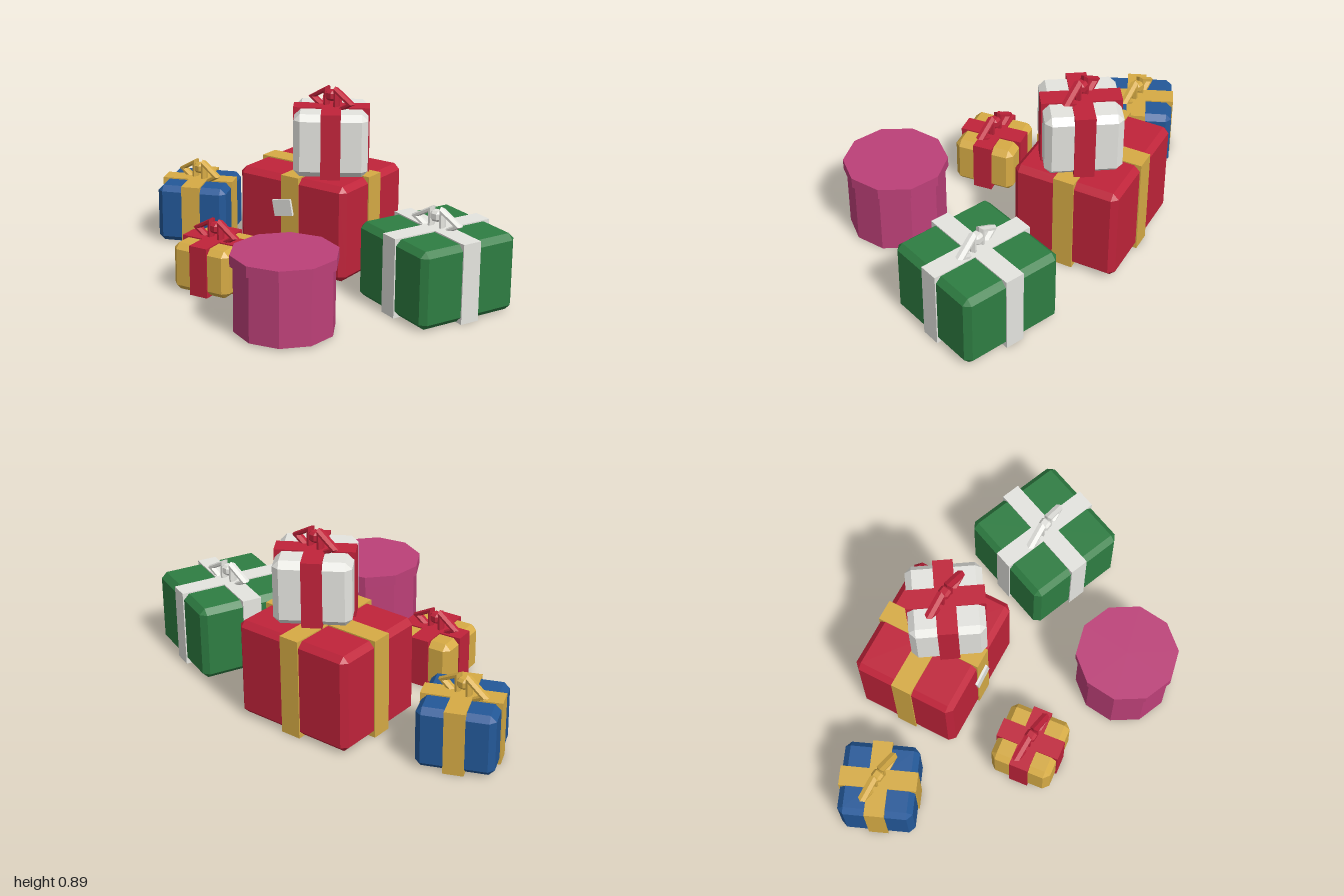
import * as THREE from 'three';
import { ConvexGeometry } from 'three/addons/geometries/ConvexGeometry.js';

function material(name, color) {
  const m = new THREE.MeshStandardMaterial({ color, flatShading: true });
  m.name = name;
  return m;
}

function addMesh(parent, name, geometry, mat, x = 0, y = 0, z = 0) {
  const mesh = new THREE.Mesh(geometry, mat);
  mesh.name = name;
  mesh.position.set(x, y, z);
  parent.add(mesh);
  return mesh;
}

// Box with flat chamfers along every edge
function chamferBox(w, h, d, c) {
  const pts = [];
  for (const sx of [-1, 1]) for (const sy of [-1, 1]) for (const sz of [-1, 1]) {
    const x = w / 2, y = h / 2, z = d / 2;
    pts.push(
      new THREE.Vector3(sx * x, sy * (y - c), sz * (z - c)),
      new THREE.Vector3(sx * (x - c), sy * y, sz * (z - c)),
      new THREE.Vector3(sx * (x - c), sy * (y - c), sz * z));
  }
  return new ConvexGeometry(pts);
}

// Two triangular loops and a knot; stands on y = 0
function makeBow(mat) {
  const bow = new THREE.Group();
  bow.name = 'bow';
  const loop = new THREE.TorusGeometry(0.058, 0.022, 6, 3);
  for (const side of [-1, 1]) {
    const mesh = addMesh(bow, side > 0 ? 'leftLoop' : 'rightLoop', loop, mat, side * 0.06, 0.026, 0);
    if (side < 0) mesh.rotation.y = Math.PI;
  }
  addMesh(bow, 'knot', chamferBox(0.052, 0.05, 0.052, 0.012), mat, 0, 0.05, 0);
  return bow;
}

// Wrapped box with crossing ribbons; the bow keeps facing the front
function makePresent({ name, x, z, y = 0, w, d, h, turn, wrap, ribbon, width = 0.093, chamfer = 0.027, bow = true }) {
  const present = new THREE.Group();
  present.name = name;
  present.position.set(x, y, z);

  const body = new THREE.Group();
  body.name = 'wrappedBox';
  body.rotation.y = turn;
  present.add(body);
  addMesh(body, 'box', chamferBox(w, h - 0.012, d, chamfer), wrap, 0, h / 2, 0);
  addMesh(body, 'sideRibbon', new THREE.BoxGeometry(w + 0.012, h, width), ribbon, 0, h / 2, 0);
  addMesh(body, 'frontRibbon', new THREE.BoxGeometry(width, h, d + 0.012), ribbon, 0, h / 2, 0);

  if (bow) {
    const b = makeBow(ribbon);
    b.position.y = h;
    present.add(b);
  }
  return present;
}

export function createModel() {
  const model = new THREE.Group();
  model.name = 'presentPile';

  const red = material('red', 0xc0233a);
  const gold = material('gold', 0xd6ab45);
  const blue = material('blue', 0x235898);
  const green = material('green', 0x2e7d42);
  const white = material('white', 0xe4e4df);
  const pink = material('magenta', 0xbc4078);

  const presents = [
    { name: 'largeRedPresent', x: -0.1, z: -0.37, w: 0.61, d: 0.51, h: 0.482, turn: 0.11, wrap: red, ribbon: gold, width: 0.1, bow: false },
    { name: 'whitePresent', x: -0.015, z: -0.347, y: 0.478, w: 0.35, d: 0.35, h: 0.315, turn: 0.68, wrap: white, ribbon: red, chamfer: 0.03 },
    { name: 'greenPresent', x: 0.68, z: -0.265, w: 0.51, d: 0.51, h: 0.376, turn: -0.29, wrap: green, ribbon: white },
    { name: 'bluePresent', x: -0.775, z: -0.215, w: 0.35, d: 0.35, h: 0.303, turn: 0.5, wrap: blue, ribbon: gold },
    { name: 'smallGoldPresent', x: -0.205, z: 0.25, w: 0.298, d: 0.298, h: 0.242, turn: 0.2, wrap: gold, ribbon: red },
  ];
  for (const p of presents) model.add(makePresent(p));

  // Gift tag on the front of the large present
  const tag = addMesh(model, 'giftTag', new THREE.BoxGeometry(0.105, 0.08, 0.012), white, -0.1, 0.325, -0.096);
  tag.rotation.set(0, 0.11, 0.2);

  // Ten-sided round box with a lid
  const round = new THREE.Group();
  round.name = 'roundBox';
  round.position.set(0.37, 0, 0.41);
  addMesh(round, 'body', new THREE.CylinderGeometry(0.229, 0.229, 0.316, 10), pink, 0, 0.166, 0);
  addMesh(round, 'lid', new THREE.CylinderGeometry(0.243, 0.243, 0.051, 10), pink, 0, 0.34, 0);
  model.add(round);

  return model;
}
